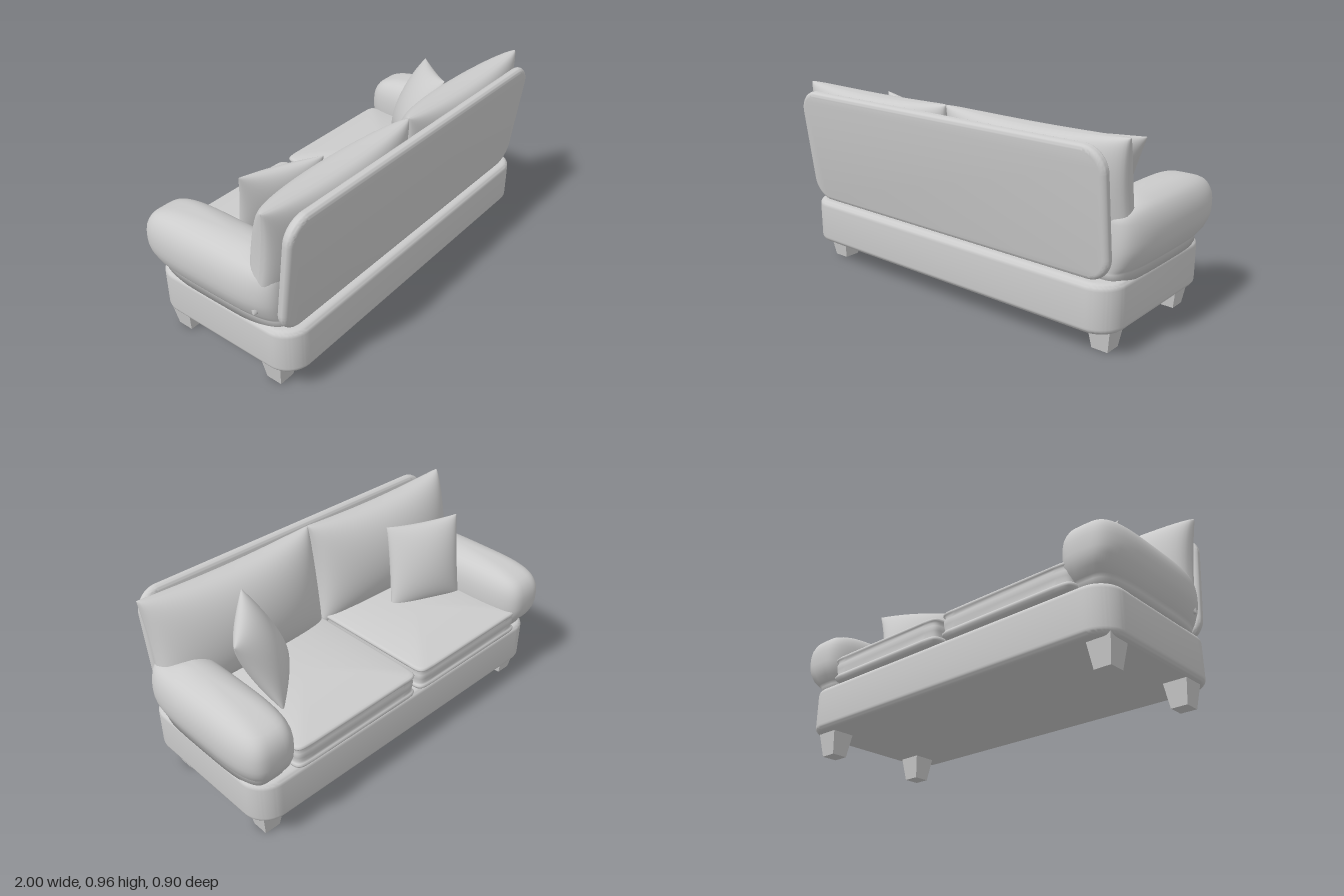
import * as THREE from 'three';
import { toCreasedNormals } from 'three/addons/utils/BufferGeometryUtils.js';

const grey = new THREE.MeshStandardMaterial({ color: 0xcccccc });
const flatGrey = new THREE.MeshStandardMaterial({ color: 0xcccccc, flatShading: true });

function part(group, name, geometry, material = grey) {
  const mesh = new THREE.Mesh(geometry, material);
  mesh.name = name;
  group.add(mesh);
  return mesh;
}

// Slab with a rounded outline and softly bevelled rims, centred on the origin, thickness along z
function roundedSlab(w, h, depth, r, bevel) {
  const x = w / 2 - bevel, y = h / 2 - bevel, s = new THREE.Shape();
  s.absarc(x - r, y - r, r, 0, Math.PI / 2);
  s.absarc(-x + r, y - r, r, Math.PI / 2, Math.PI);
  s.absarc(-x + r, -y + r, r, Math.PI, Math.PI * 1.5);
  s.absarc(x - r, -y + r, r, Math.PI * 1.5, Math.PI * 2);
  const g = new THREE.ExtrudeGeometry(s, {
    depth: depth - 2 * bevel, bevelThickness: bevel, bevelSize: bevel, bevelSegments: 6, curveSegments: 12,
  });
  g.translate(0, 0, -depth / 2 + bevel);
  return toCreasedNormals(g, 0.7);
}

// Upholstered body from stacked superellipse sections: [y, centreX, halfX, zFront, zBack]
function stack(rows, power, n = 72) {
  const pos = [], index = [];
  for (const [y, cx, hx, z0, z1] of rows) {
    for (let i = 0; i < n; i++) {
      const a = (i / n) * Math.PI * 2, c = Math.cos(a), s = Math.sin(a);
      const px = Math.sign(c) * Math.abs(c) ** (2 / power);
      const pz = Math.sign(s) * Math.abs(s) ** (2 / power);
      pos.push(cx + hx * px, y, (z0 + z1) / 2 + ((z1 - z0) / 2) * pz);
    }
  }
  const first = rows[0], last = rows[rows.length - 1];
  for (const [y, cx, , z0, z1] of [first, last]) pos.push(cx, y, (z0 + z1) / 2);
  const bottom = rows.length * n, top = bottom + 1, lastRow = (rows.length - 1) * n;
  for (let i = 0; i < n; i++) {
    const j = (i + 1) % n;
    for (let k = 0; k < lastRow; k += n) index.push(k + i, k + n + i, k + j, k + j, k + n + i, k + n + j);
    index.push(bottom, i, j, top, lastRow + j, lastRow + i);
  }
  const g = new THREE.BufferGeometry();
  g.setAttribute('position', new THREE.Float32BufferAttribute(pos, 3));
  g.setIndex(index);
  g.computeVertexNormals();
  return g;
}

// Pillow stretched between four corners (top start, top end, bottom start, bottom end)
// with a seam all round, pinched sides and a separate bulge for each face
function pillow(group, name, corners, bulgeFront, bulgeBack, pinchU, pinchV, fullness) {
  const [tA, tB, bA, bB] = corners.map((c) => new THREE.Vector3(...c));
  const across = tB.clone().sub(tA).add(bB).sub(bA);
  const up = tA.clone().sub(bA).add(tB).sub(bB);
  const normal = across.cross(up).normalize();
  const set = new THREE.Group();
  set.name = name;
  for (const [side, bulge] of [[1, bulgeFront], [-1, bulgeBack]]) {
    const g = new THREE.PlaneGeometry(2, 2, 32, 32), p = g.attributes.position;
    for (let i = 0; i < p.count; i++) {
      const u = Math.sin((p.getX(i) * Math.PI) / 2) * side;
      const v = Math.sin((p.getY(i) * Math.PI) / 2);
      const fu = Math.max(0, 1 - u * u), fv = Math.max(0, 1 - v * v);
      const s = (u * (1 - pinchU * fv) + 1) / 2, t = (v * (1 - pinchV * fu) + 1) / 2;
      const top = tA.clone().lerp(tB, s), point = bA.clone().lerp(bB, s).lerp(top, t);
      point.addScaledVector(normal, side * bulge * (fu * fv) ** fullness);
      p.setXYZ(i, point.x, point.y, point.z);
    }
    g.computeVertexNormals();
    part(set, side > 0 ? 'frontFace' : 'backFace', g);
  }
  group.add(set);
}

export function createModel() {
  const sofa = new THREE.Group();
  sofa.name = 'sofa';

  // Base box
  const base = roundedSlab(1.887, 0.84, 0.23, 0.095, 0.03);
  base.rotateX(-Math.PI / 2);
  part(sofa, 'base', base).position.set(-0.005, 0.232, 0);

  // Tapered square legs
  for (const x of [-0.86, 0.83]) {
    for (const [z, name] of [[0.267, 'backLeg'], [-0.307, 'frontLeg']]) {
      const leg = new THREE.CylinderGeometry(0.061 * Math.SQRT2, 0.041 * Math.SQRT2, 0.13, 4, 1, false, Math.PI / 4);
      part(sofa, name, leg, flatGrey).position.set(x, 0.065, z);
    }
  }

  // Leaning back panel
  const panel = part(sofa, 'backPanel', roundedSlab(1.85, 0.6, 0.052, 0.09, 0.025));
  panel.position.set(-0.02, 0.64, 0.393);
  panel.rotation.x = 0.125;

  // Rolled arms: narrow neck, wide bulge, rounded top
  const armRows = [
    [0.332, 0.832, 0.112, -0.385, 0.342],
    [0.372, 0.832, 0.113, -0.39, 0.34],
    [0.385, 0.836, 0.12, -0.402, 0.34],
    [0.41, 0.841, 0.132, -0.43, 0.342],
    [0.45, 0.845, 0.145, -0.446, 0.345],
    [0.48, 0.847, 0.15, -0.45, 0.346],
    [0.51, 0.848, 0.151, -0.451, 0.346],
    [0.54, 0.848, 0.15, -0.45, 0.345],
    [0.57, 0.848, 0.146, -0.445, 0.343],
    [0.595, 0.847, 0.139, -0.434, 0.341],
    [0.615, 0.847, 0.13, -0.42, 0.338],
    [0.631, 0.846, 0.12, -0.4, 0.325],
    [0.643, 0.846, 0.109, -0.373, 0.298],
    [0.653, 0.845, 0.096, -0.341, 0.243],
    [0.662, 0.845, 0.08, -0.303, 0.21],
    [0.669, 0.845, 0.063, -0.25, 0.187],
    [0.674, 0.845, 0.045, -0.185, 0.165],
    [0.677, 0.845, 0.027, -0.1, 0.14],
    [0.678, 0.845, 0.012, -0.03, 0.1],
  ];
  for (const side of [-1, 1]) {
    const rows = armRows.map(([y, cx, ...rest]) => [y, side * cx - 0.002, ...rest]);
    part(sofa, side < 0 ? 'rightArm' : 'leftArm', stack(rows, 3.8));
  }

  // Square seat cushions: [y, inset], with piping at both rims and a domed top
  const seatRows = [
    [0.338, 0.03], [0.348, 0.012], [0.36, 0.002], [0.37, 0], [0.378, 0.005], [0.384, 0.012],
    [0.41, 0.006], [0.435, 0.006], [0.452, 0.012], [0.458, 0.004], [0.467, 0.002], [0.474, 0.008], [0.477, 0.02],
    [0.484, 0.06], [0.493, 0.12], [0.5, 0.2], [0.504, 0.28], [0.505, 0.34],
  ];
  for (const side of [-1, 1]) {
    const rows = seatRows.map(([y, d]) => [y, side * 0.387 - 0.028, 0.378 - d, -0.438 + d, 0.33 - d * 0.6]);
    part(sofa, side < 0 ? 'rightSeatCushion' : 'leftSeatCushion', stack(rows, 20, 96));
  }

  // Large back cushions, then the two loose pillows
  for (const [x0, x1, name] of [[-0.02, -0.98, 'rightBackCushion'], [0.95, -0.02, 'leftBackCushion']]) {
    const corners = [[x0, 0.962, 0.335], [x1, 0.962, 0.335], [x0, 0.42, 0.25], [x1, 0.42, 0.25]];
    pillow(sofa, name, corners, 0.178, 0.11, 0.04, 0.085, 0.39);
  }
  pillow(sofa, 'leftThrowPillow',
    [[0.775, 0.855, -0.105], [0.51, 0.9, 0.185], [0.615, 0.485, -0.205], [0.34, 0.51, 0.1]], 0.085, 0.085, 0.045, 0.045, 0.5);
  pillow(sofa, 'rightThrowPillow',
    [[-0.4, 0.88, 0.155], [-0.765, 0.885, 0], [-0.33, 0.465, 0.04], [-0.7, 0.465, -0.105]], 0.085, 0.085, 0.045, 0.045, 0.5);

  return sofa;
}
